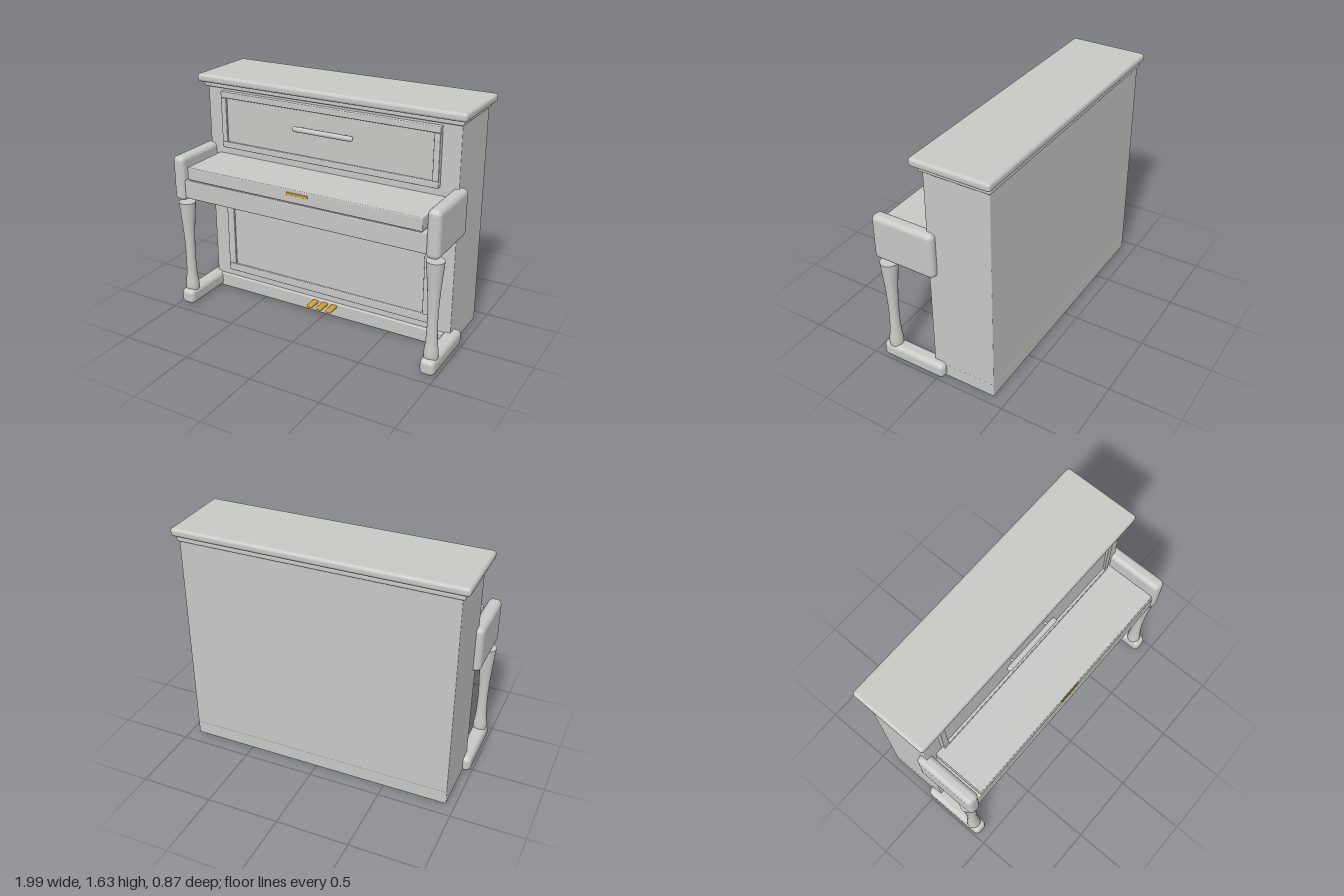
import * as THREE from 'three';
import { RoundedBoxGeometry } from 'three/addons/geometries/RoundedBoxGeometry.js';

export function createModel() {
  const model = new THREE.Group();
  model.name = 'uprightPiano';
  const casework = new THREE.MeshStandardMaterial({ name: 'pale grey casework', color: 0xc8c8c5 });
  const brass = new THREE.MeshStandardMaterial({ name: 'brass', color: 0xd4a030 });

  const add = (name, geometry, material, x = 0, y = 0, z = 0) => {
    const mesh = new THREE.Mesh(geometry, material);
    mesh.name = name;
    mesh.position.set(x, y, z);
    model.add(mesh);
    return mesh;
  };
  // Rounded box given by its limits on each axis
  const box = (name, [x0, x1], [y0, y1], [z0, z1], r, material = casework) =>
    add(name, new RoundedBoxGeometry(x1 - x0, y1 - y0, z1 - z0, 4, r), material,
      (x0 + x1) / 2, (y0 + y1) / 2, (z0 + z1) / 2);

  // Cabinet, plinth and lid
  box('cabinet', [-0.94, 0.94], [0.1, 1.56], [-0.405, 0.045], 0.006);
  box('plinth', [-0.94, 0.94], [0.005, 0.107], [-0.405, 0.065], 0.008);
  box('lidMoulding', [-0.955, 0.955], [1.54, 1.578], [-0.418, 0.073], 0.013);
  box('lid', [-0.987, 0.987], [1.575, 1.632], [-0.435, 0.113], 0.022);

  // Framed panels on the front
  const framedPanel = (name, w, y0, y1, rail, stile) => {
    box(name, [-w, w], [y0, y1], [0.04, 0.065], 0.003);
    box(name + 'BottomRail', [-w, w], [y0, y0 + rail], [0.06, 0.081], 0.006);
    box(name + 'TopRail', [-w, w], [y1 - rail, y1], [0.06, 0.081], 0.006);
    for (const [a, b] of [[-w, stile - w], [w - stile, w]])
      box(name + 'Stile', [a, b], [y0 + rail, y1 - rail], [0.06, 0.079], 0.004);
  };
  framedPanel('upperPanel', 0.815, 1.12, 1.52, 0.043, 0.042);
  framedPanel('lowerPanel', 0.805, 0.165, 0.755, 0.057, 0.058);

  // Bar handle on the upper panel
  add('handle', new THREE.CapsuleGeometry(0.018, 0.418, 6, 16), casework, 0, 1.35, 0.098)
    .rotation.z = Math.PI / 2;
  for (const x of [-0.16, 0.16])
    add('handlePost', new THREE.CylinderGeometry(0.01, 0.01, 0.04, 12), casework, x, 1.35, 0.08)
      .rotation.x = Math.PI / 2;

  // Keyboard shelf with closed fallboard
  box('keybed', [-0.9, 0.9], [0.835, 0.965], [0.03, 0.418], 0.006);
  box('fallboardSpacer', [-0.86, 0.86], [0.955, 0.985], [0.03, 0.405], 0.004);
  box('fallboard', [-0.868, 0.868], [0.975, 1.065], [0.03, 0.42], 0.006);
  box('lockPlate', [-0.08, 0.08], [1.026, 1.044], [0.418, 0.4255], 0.002, brass);

  // Cheeks, turned legs and feet, one of each per side
  const legProfile = [[0.047, 0.105], [0.048, 0.13], [0.046, 0.16], [0.039, 0.22], [0.035, 0.3],
    [0.034, 0.38], [0.036, 0.46], [0.041, 0.56], [0.048, 0.65], [0.055, 0.73], [0.059, 0.78]];
  const legCurve = new THREE.SplineCurve(legProfile.map(([r, y]) => new THREE.Vector2(r, y)));
  const legGeometry = new THREE.LatheGeometry(legCurve.getPoints(30), 32);
  const legCap = new THREE.CircleGeometry(0.059, 32).rotateX(-Math.PI / 2);
  for (const side of [-1, 1]) {
    const x = (a, b) => side > 0 ? [a, b] : [-b, -a];
    box('cheek', x(0.895, 0.986), [0.81, 1.13], [-0.017, 0.434], 0.035);
    box('foot', x(0.886, 0.99), [0.004, 0.116], [-0.045, 0.434], 0.035);
    add('leg', legGeometry, casework, side * 0.938, 0, 0.358);
    add('legTop', legCap, casework, side * 0.938, 0.78, 0.358);
  }

  // Pedals
  for (const x of [-0.075, 0, 0.075])
    box('pedal', [x - 0.021, x + 0.021], [0.074, 0.097], [0.05, 0.155], 0.008, brass);

  return model;
}
